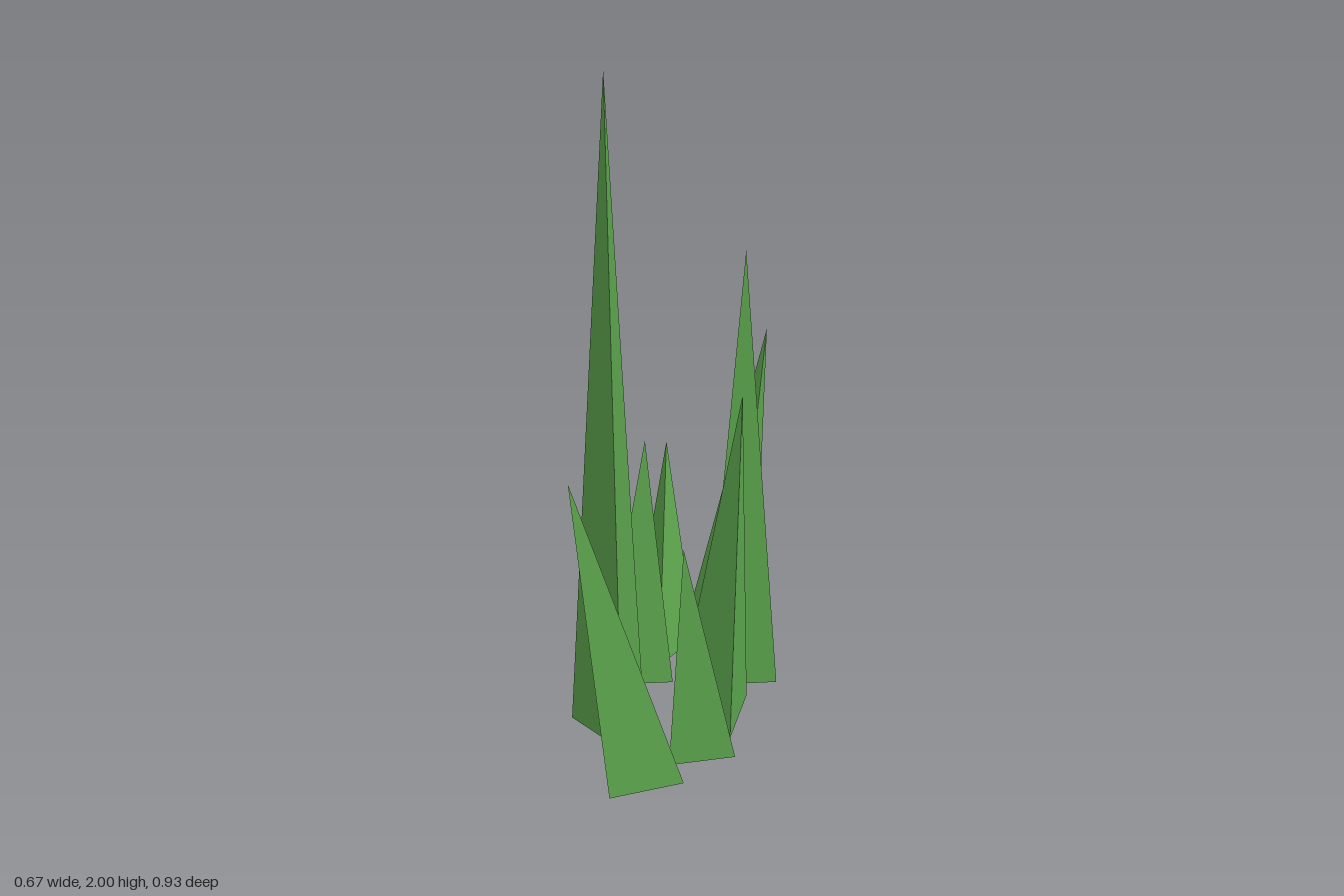
import * as THREE from 'three';

// Each blade: three base corners and the tip, as [x, y, z]
const BLADES = [
  { base: [[-0.293, 0.025, -0.287], [-0.083, 0.025, -0.287], [-0.189, 0.025, -0.467]], tip: [-0.167, 1.0, -0.467] },
  { base: [[-0.07, 0.025, -0.296], [0.14, 0.025, -0.281], [0.021, 0.02, -0.105]], tip: [0.063, 1.4, -0.2] },
  { base: [[-0.202, 0.008, -0.244], [-0.144, 0.01, -0.066], [-0.328, 0.025, -0.105]], tip: [-0.338, 0.63, -0.237] },
  { base: [[-0.261, 0.02, -0.056], [-0.051, 0.015, -0.046], [-0.165, 0.015, 0.133]], tip: [-0.138, 0.8, -0.014] },
  { base: [[0.128, 0.015, -0.18], [0.259, 0.015, -0.016], [0.051, 0.015, 0.016]], tip: [0.177, 1.05, -0.105] },
  { base: [[0.145, 0.015, 0.019], [0.333, 0.015, 0.024], [0.237, 0, 0.182]], tip: [0.239, 0.69, 0.135] },
  { base: [[-0.009, 0.012, 0.09], [0.118, 0.012, 0.257], [-0.09, 0.012, 0.284]], tip: [0.084, 2.0, 0.261] },
  { base: [[0.128, 0.012, 0.244], [0.334, 0.01, 0.204], [0.266, 0.01, 0.405]], tip: [0.197, 0.99, 0.467] },
];

// Closed three-sided spike with separate corners per face for flat shading
function spikeGeometry(base, tip) {
  let [a, b, c] = base;
  // Order the base so every face points outward
  const turn = (b[0] - a[0]) * (c[2] - a[2]) - (b[2] - a[2]) * (c[0] - a[0]);
  if (turn > 0) [b, c] = [c, b];
  const faces = [a, b, tip, b, c, tip, c, a, tip, a, c, b];
  const geometry = new THREE.BufferGeometry();
  geometry.setAttribute('position', new THREE.Float32BufferAttribute(faces.flat(), 3));
  geometry.computeVertexNormals();
  return geometry;
}

export function createModel() {
  const group = new THREE.Group();
  group.name = 'grassTuft';

  const green = new THREE.MeshStandardMaterial({ color: 0x5ca54d });
  green.name = 'grassGreen';

  BLADES.forEach(({ base, tip }, i) => {
    const blade = new THREE.Mesh(spikeGeometry(base, tip), green);
    blade.name = `grassBlade${i + 1}`;
    group.add(blade);
  });

  return group;
}
